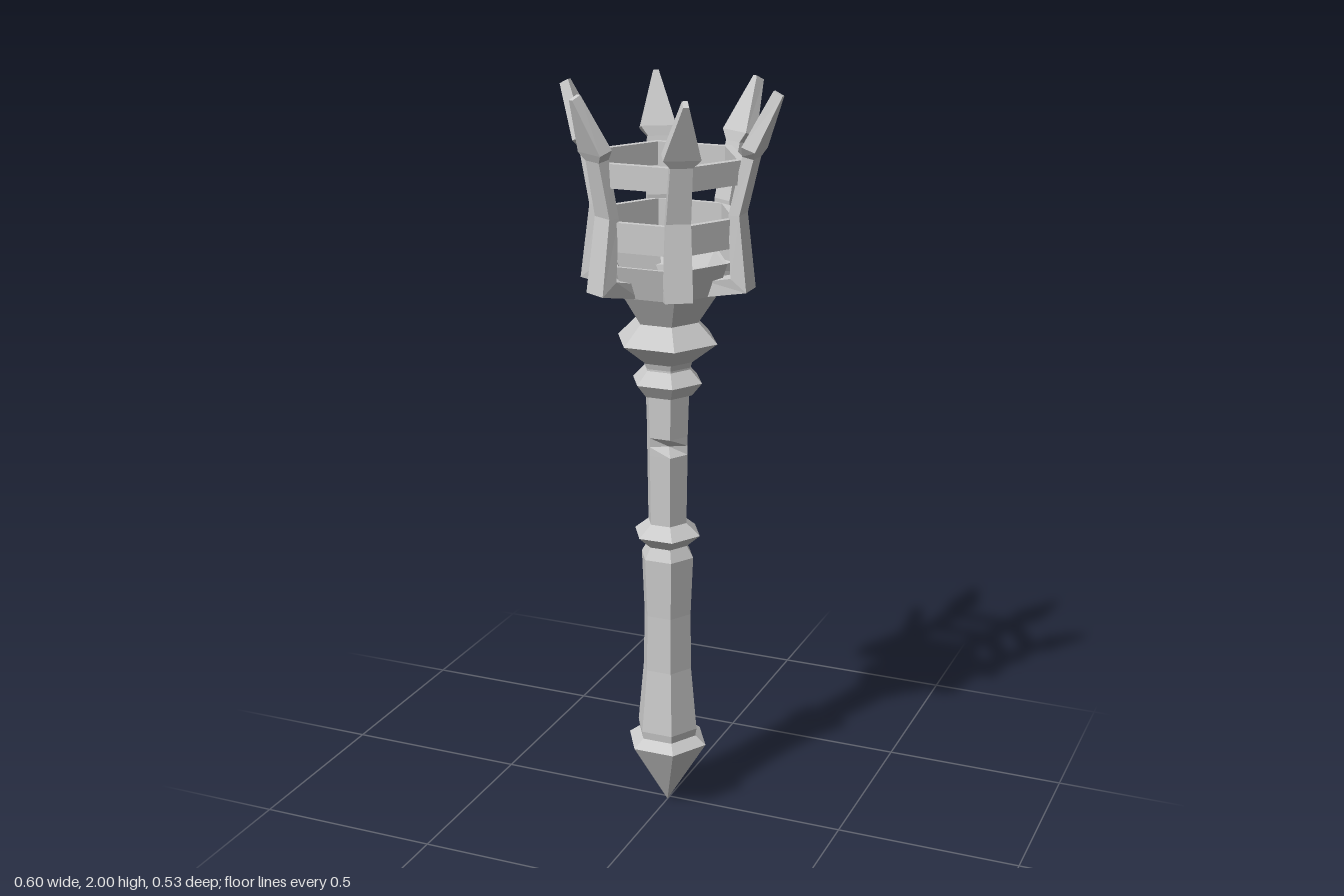
import * as THREE from 'three';

const material = new THREE.MeshStandardMaterial({ color: 0xcccccc, flatShading: true });
const AXIS_Z = 0.016; // the shaft sits slightly forward of the prong tips

// Six-sided turned part with corners on +x and -x; profile is [radius, y] from bottom to top.
function hexLathe(name, profile) {
  const points = profile.map(([r, y]) => new THREE.Vector2(r, y));
  const mesh = new THREE.Mesh(new THREE.LatheGeometry(points, 6, Math.PI / 2), material);
  mesh.name = name;
  mesh.position.z = AXIS_Z;
  return mesh;
}

function hexRing(name, inner, outer, y0, y1) {
  return hexLathe(name, [[inner, y0], [outer, y0], [outer, y1], [inner, y1], [inner, y0]]);
}

// Upper shaft with a small notch hacked into its front left edge.
function notchedShaft() {
  const profile = [[0.055, 0.83], [0.058, 1.035], [0.058, 1.06], [0.058, 1.085], [0.062, 1.21]];
  const mesh = hexLathe('upperShaft', profile);
  const pos = mesh.geometry.attributes.position;
  const i = 5 * profile.length + 2;
  pos.setXYZ(i, pos.getX(i) * 0.5, pos.getY(i), pos.getZ(i) * 0.5);
  return mesh;
}

// Claw: foot, bowed stem and spear head, lofted through four-cornered sections.
function prongGeometry(angle) {
  // outer radius, outer y, inner radius, inner y, half width
  const sections = [
    [0.105, 1.472, 0.12, 1.515, 0.026],
    [0.23, 1.497, 0.187, 1.53, 0.035],
    [0.206, 1.69, 0.177, 1.69, 0.031],
    [0.238, 1.832, 0.208, 1.838, 0.028],
    [0.248, 1.852, 0.212, 1.864, 0.047],
    [0.302, 1.988, 0.278, 2.0, 0.007],
  ];
  const verts = [], index = [];
  const add = (r, y, w) => {
    const lean = AXIS_Z * (1 - THREE.MathUtils.smoothstep(y, 1.55, 2));
    verts.push(r * Math.cos(angle) + w * Math.sin(angle), y,
      -r * Math.sin(angle) + w * Math.cos(angle) + lean);
  };
  sections.forEach(([ro, yo, ri, yi, w], s) => {
    add(ro, yo, w);
    add(ro, yo, -w);
    add(ri, yi, -w);
    add(ri, yi, w);
    if (s === sections.length - 1) return;
    for (let k = 0; k < 4; k++) {
      const a = s * 4 + k, b = s * 4 + (k + 1) % 4;
      index.push(a, b, b + 4, a, b + 4, a + 4);
    }
  });
  const t = (sections.length - 1) * 4;
  index.push(0, 2, 1, 0, 3, 2, t, t + 1, t + 2, t, t + 2, t + 3);
  const geometry = new THREE.BufferGeometry();
  geometry.setAttribute('position', new THREE.Float32BufferAttribute(verts, 3));
  geometry.setIndex(index);
  geometry.computeVertexNormals();
  return geometry;
}

export function createModel() {
  const model = new THREE.Group();
  model.name = 'torch';

  // Shaft, from the pointed foot upward
  model.add(
    hexLathe('pommel', [[0, 0.005], [0.114, 0.195], [0.084, 0.218], [0, 0.218]]),
    hexLathe('grip', [[0, 0.21], [0.082, 0.21], [0.087, 0.24], [0.07, 0.42], [0.068, 0.58],
      [0.075, 0.745], [0.055, 0.78], [0, 0.78]]),
    hexLathe('gripCollar', [[0.055, 0.775], [0.094, 0.81], [0.055, 0.842], [0, 0.842]]),
    notchedShaft(),
    hexLathe('lowerCollar', [[0, 1.2], [0.07, 1.2], [0.098, 1.235], [0.065, 1.27], [0.065, 1.28]]),
    hexLathe('upperCollar', [[0.065, 1.275], [0.07, 1.29], [0.14, 1.345], [0.085, 1.4]]),
  );

  // Open bowl
  model.add(hexLathe('bowl', [[0.085, 1.395], [0.138, 1.475], [0.166, 1.56],
    [0.155, 1.56], [0.12, 1.5], [0, 1.5]]));

  // Basket hoops
  model.add(
    hexRing('lowerHoop', 0.178, 0.198, 1.605, 1.68),
    hexRing('upperHoop', 0.188, 0.211, 1.767, 1.828),
  );

  // Prongs around the basket
  for (let i = 0; i < 6; i++) {
    const prong = new THREE.Mesh(prongGeometry(i * Math.PI / 3), material);
    prong.name = `prong${i + 1}`;
    model.add(prong);
  }
  return model;
}
